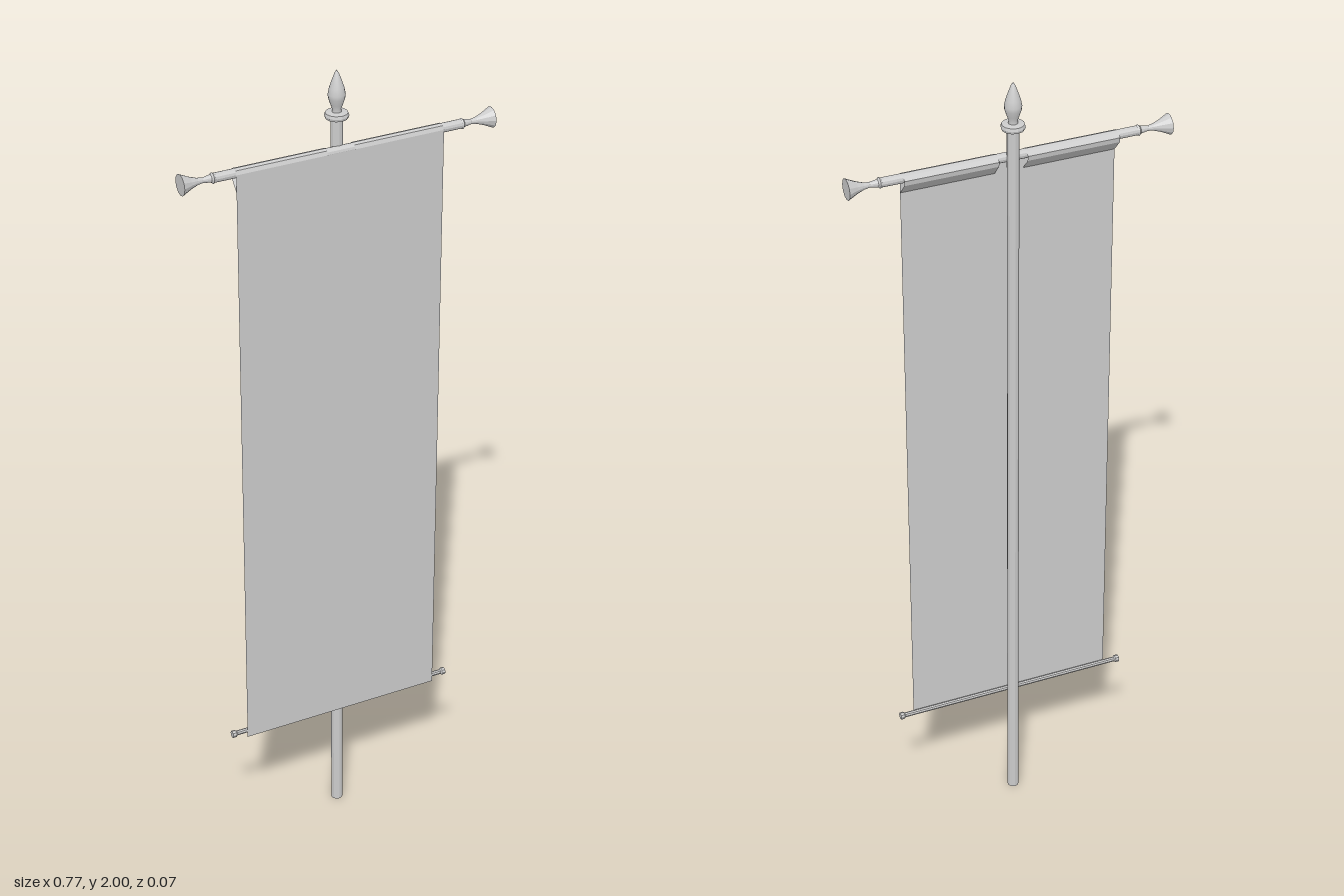
import * as THREE from 'three';

const material = new THREE.MeshStandardMaterial({ color: 0xcccccc, side: THREE.DoubleSide });
const flat = new THREE.MeshStandardMaterial({ color: 0xcccccc, side: THREE.DoubleSide, flatShading: true });

const POLE_Z = -0.006;
const BAR_Y = 1.812, BAR_Z = 0.007;

function lathe(name, profile, sides, mat = flat) {
  const points = profile.map(([r, y]) => new THREE.Vector2(r, y));
  const mesh = new THREE.Mesh(new THREE.LatheGeometry(points, sides), mat);
  mesh.name = name;
  return mesh;
}

// Sheet of cloth following a [z, y] profile between x0 and x1
function clothStrip(name, profile, x0, x1) {
  const geometry = new THREE.PlaneGeometry(1, 1, 1, profile.length - 1);
  const pos = geometry.attributes.position;
  profile.forEach(([z, y], i) => {
    pos.setXYZ(i * 2, x0, y, z);
    pos.setXYZ(i * 2 + 1, x1, y, z);
  });
  geometry.computeVertexNormals();
  const mesh = new THREE.Mesh(geometry, flat);
  mesh.name = name;
  return mesh;
}

// Mirrors a half profile to make a rod lying along x
function crossRod(name, half, sides, y, z) {
  const left = half.map(([r, x]) => [r, -x]).reverse();
  const rod = lathe(name, [...left, ...half], sides);
  rod.rotation.z = -Math.PI / 2;
  rod.position.set(0, y, z);
  return rod;
}

export function createModel() {
  const group = new THREE.Group();
  group.name = 'hangingBanner';

  // Upright pole with its collar and pointed finial
  const pole = lathe('pole', [[0, 0], [0.014, 0], [0.014, 1.888], [0, 1.888]], 12);
  const collar = lathe('collar', [
    [0.014, 1.884], [0.026, 1.886], [0.028, 1.892], [0.026, 1.899], [0.01, 1.901],
  ], 12);
  const finial = lathe('finial', [
    [0.011, 1.899], [0.01, 1.907], [0.014, 1.918], [0.019, 1.933], [0.02, 1.943],
    [0.017, 1.958], [0.011, 1.976], [0.005, 1.992], [0, 2],
  ], 16, material);
  for (const part of [pole, collar, finial]) {
    part.position.z = POLE_Z;
    group.add(part);
  }

  // Crossbar with flared ends
  group.add(crossRod('crossbar', [
    [0.011, 0.305], [0.013, 0.309], [0.009, 0.313], [0.006, 0.332],
    [0.008, 0.345], [0.014, 0.362], [0.025, 0.385], [0, 0.385],
  ], 12, BAR_Y, BAR_Z));

  // Thin weight rod with small end knobs
  group.add(crossRod('lowerRod', [
    [0.006, 0.283], [0.009, 0.286], [0.009, 0.295], [0, 0.295],
  ], 8, 0.305, 0.01));

  // Front sheet
  group.add(clothStrip('bannerCloth', [[0.019, 1.812], [0.018, 0.29]], -0.257, 0.257));

  // Cloth sleeves around the bar, leaving a gap at the pole
  const sleeve = [
    [0.019, 1.812], [0.015, 1.821], [0.007, 1.824], [-0.002, 1.821],
    [-0.01, 1.812], [-0.008, 1.8], [0.018, 1.77],
  ];
  for (const side of [-1, 1]) {
    const a = side * 0.034, b = side * 0.257;
    group.add(clothStrip('bannerSleeve', sleeve, Math.min(a, b), Math.max(a, b)));
  }

  return group;
}
